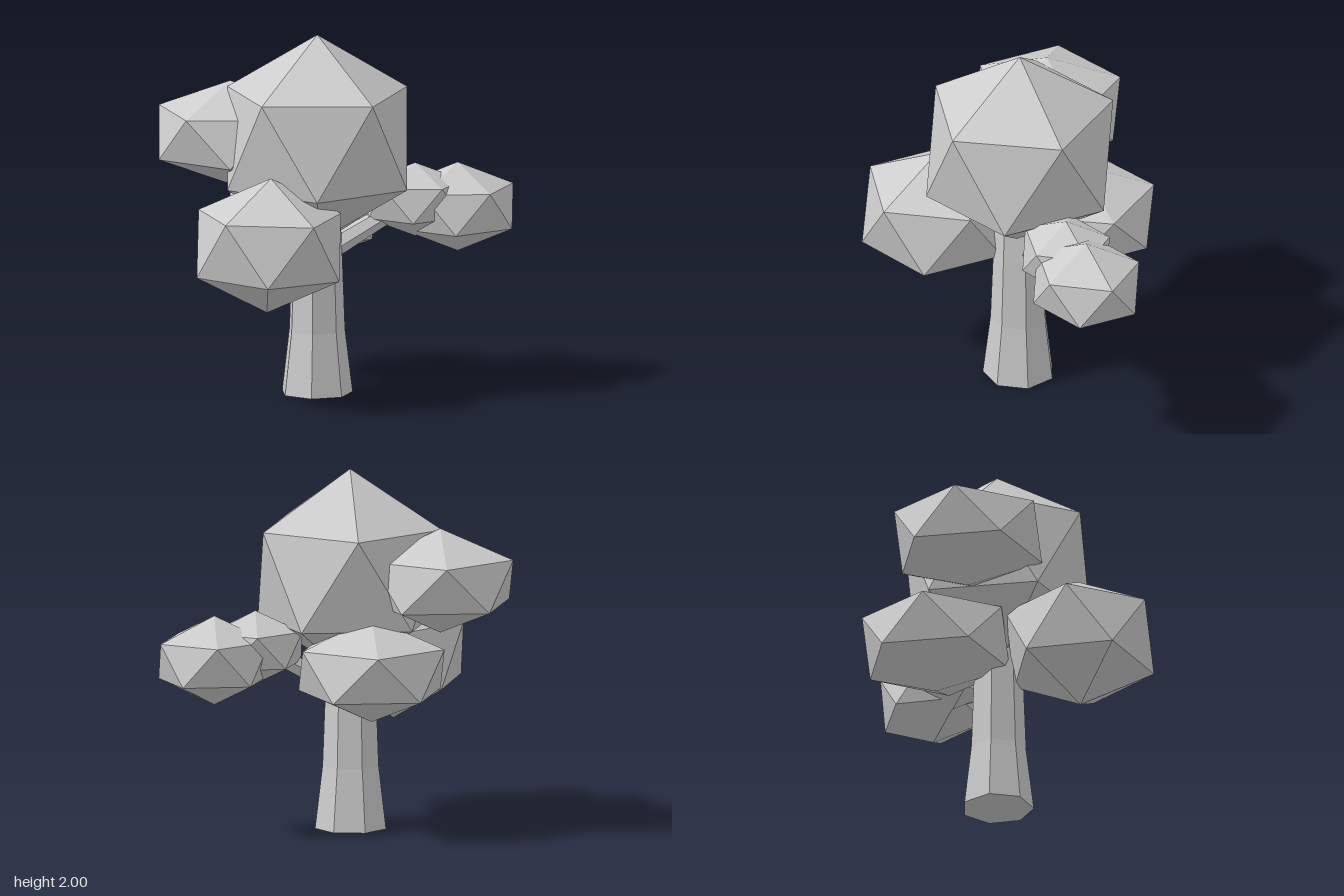
import * as THREE from 'three';

export function createModel() {
  const tree = new THREE.Group();
  tree.name = 'tree';
  const grey = new THREE.MeshStandardMaterial({ color: 0xcccccc, flatShading: true });
  grey.name = 'plain grey';

  const add = (name, geometry) => {
    const mesh = new THREE.Mesh(geometry, grey);
    mesh.name = name;
    tree.add(mesh);
    return mesh;
  };

  // Leaf clumps: icosahedra stood on a corner, with an upper-ring corner facing +x
  const clumpGeometry = new THREE.IcosahedronGeometry(1, 0);
  clumpGeometry.rotateZ(-Math.atan(2 / (1 + Math.sqrt(5))));
  const clumps = [
    // name, centre, radii, tilt
    ['crown', [-0.17, 1.42, 0.02], [0.58, 0.58, 0.58], 0],
    ['frontLeafClump', [-0.553, 0.905, 0.34], [0.46, 0.375, 0.457], -0.03],
    ['upperBackLeafClump', [-0.555, 1.41, -0.34], [0.46, 0.29, 0.457], 0],
    ['lowerBackLeafClump', [-0.145, 0.94, -0.34], [0.46, 0.29, 0.457], 0],
    ['innerBranchClump', [0.395, 1.045, 0.02], [0.305, 0.205, 0.265], 0],
    ['outerBranchClump', [0.64, 0.99, 0.02], [0.358, 0.248, 0.323], 0],
  ];
  for (const [name, centre, radii, tilt] of clumps) {
    const clump = add(name, clumpGeometry);
    clump.position.set(...centre);
    clump.scale.set(...radii);
    clump.rotation.z = tilt;
  }

  // Seven-sided trunk, flared at the foot, with a flat side to the front
  const profile = [[0, 0], [0.2, 0], [0.158, 0.35], [0.143, 0.75], [0.125, 1.2], [0, 1.2]];
  const trunk = add('trunk', new THREE.LatheGeometry(
    profile.map(([r, y]) => new THREE.Vector2(r, y)), 7, Math.PI));
  trunk.position.set(-0.175, 0, 0.02);

  // Side branch carrying the two small clumps
  const from = new THREE.Vector3(-0.1, 0.79, 0);
  const to = new THREE.Vector3(0.4, 1.06, 0.02);
  const along = to.clone().sub(from);
  const branch = add('branch', new THREE.CylinderGeometry(0.045, 0.065, along.length(), 6));
  branch.position.copy(from).add(to).multiplyScalar(0.5);
  branch.quaternion.setFromUnitVectors(new THREE.Vector3(0, 1, 0), along.normalize());

  return tree;
}
